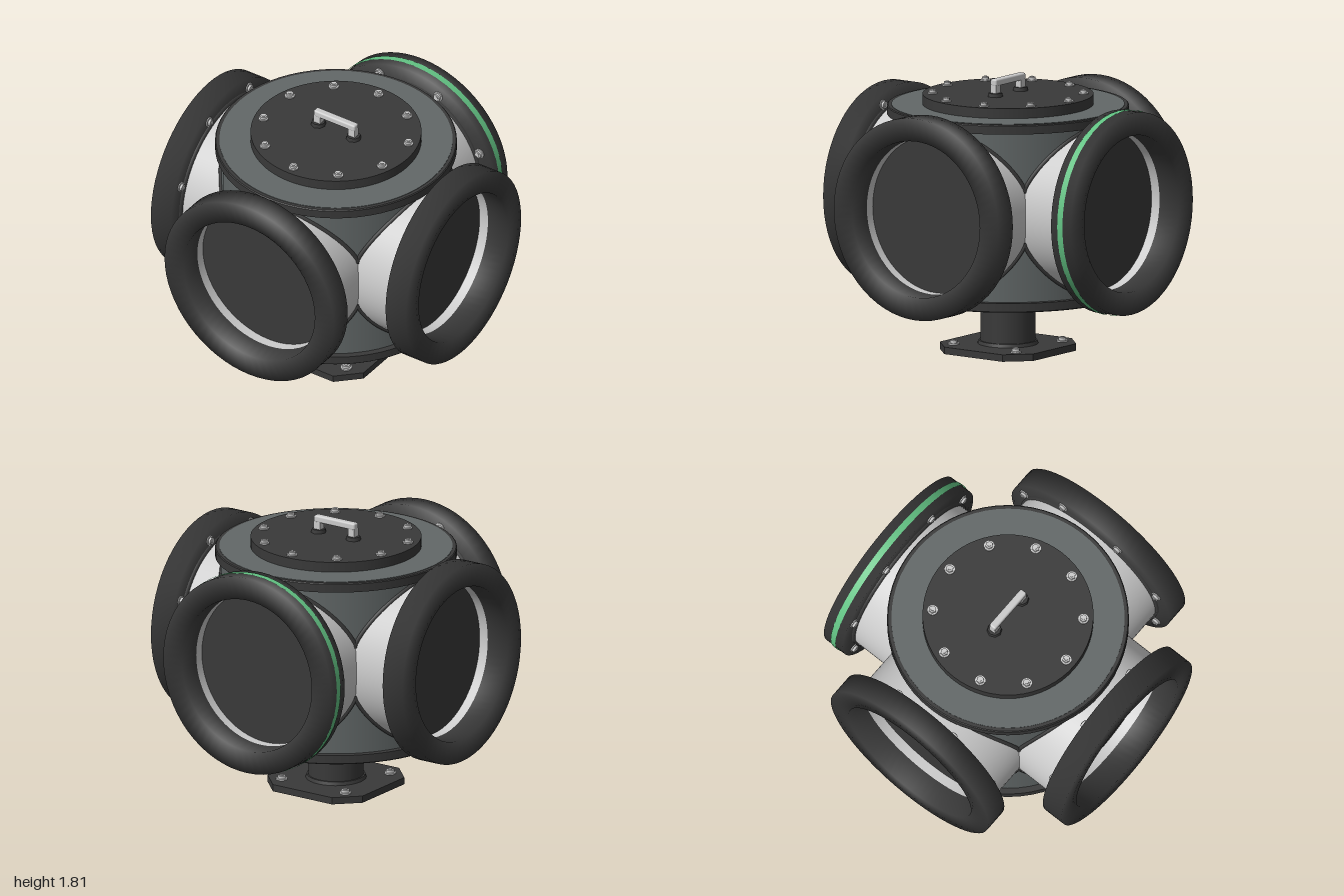
import * as THREE from 'three';
import { RoundedBoxGeometry } from 'three/addons/geometries/RoundedBoxGeometry.js';

const mat = (name, color, side = THREE.FrontSide) => {
  const m = new THREE.MeshStandardMaterial({ color, side });
  m.name = name;
  return m;
};

export function createModel() {
  const dark = mat('charcoal', 0x393939);
  const grey = mat('hull grey', 0x626868);
  const silver = mat('silver', 0xcccccc, THREE.DoubleSide);
  const green = mat('green', 0x62c283, THREE.DoubleSide);

  const CY = 1.003;     // height of the port axes
  const TUBE_R = 0.558; // port tube radius
  const HULL_R = 0.745; // vertical hull radius

  const root = new THREE.Group();
  root.name = 'dockingNode';

  const add = (parent, name, geo, material, x = 0, y = 0, z = 0) => {
    const m = new THREE.Mesh(geo, material);
    m.name = name;
    m.position.set(x, y, z);
    parent.add(m);
    return m;
  };
  // upright cylinder between two heights
  const cyl = (parent, name, r, y0, y1, material, seg = 64, rTop = r, open = false) =>
    add(parent, name, new THREE.CylinderGeometry(rTop, r, y1 - y0, seg, 1, open), material, 0, (y0 + y1) / 2, 0);
  const lathe = (pts, seg = 64) => new THREE.LatheGeometry(pts.map(p => new THREE.Vector2(...p)), seg);

  // bolt: washer, hex nut and stud, standing on its local y = 0
  const bolt = (parent, x, y, z, s = 1) => {
    const g = new THREE.Group();
    g.name = 'bolt';
    cyl(g, 'washer', 0.034 * s, 0, 0.008 * s, silver, 16);
    cyl(g, 'boltNut', 0.025 * s, 0.008 * s, 0.024 * s, silver, 6);
    cyl(g, 'boltStud', 0.013 * s, 0.024 * s, 0.029 * s, silver, 8);
    g.position.set(x, y, z);
    parent.add(g);
    return g;
  };

  // hull with a flange at each end
  cyl(root, 'hull', HULL_R, 0.42, 1.58, grey);
  for (const s of [1, -1]) {
    const cap = new THREE.Group();
    cap.name = s > 0 ? 'topFlange' : 'bottomFlange';
    cyl(cap, 'flangeRim', 0.785, 0.557, 0.612, dark);
    cyl(cap, 'flangeBevel', 0.785, 0.612, 0.618, dark, 64, 0.779);
    cyl(cap, 'flangeFace', 0.757, 0.614, 0.621, grey);
    cap.position.y = CY;
    if (s < 0) cap.rotation.x = Math.PI;
    root.add(cap);
  }

  // hatch with bolts and handle
  cyl(root, 'hatch', 0.555, 1.62, 1.69, dark);
  for (let i = 0; i < 10; i++) {
    const a = i * Math.PI / 5;
    bolt(root, 0.49 * Math.sin(a), 1.69, 0.49 * Math.cos(a));
  }
  add(root, 'handleBar', new RoundedBoxGeometry(0.325, 0.046, 0.05, 3, 0.012), silver, 0, 1.783, 0);
  for (const s of [1, -1]) {
    add(root, 'handlePost', new THREE.BoxGeometry(0.05, 0.065, 0.045), silver, s * 0.136, 1.735, 0);
    add(root, 'handleFoot', new THREE.CylinderGeometry(0.045, 0.05, 0.024, 8), dark, s * 0.138, 1.702, 0);
  }

  // pedestal with a collar at each end and a chamfered square base
  cyl(root, 'pedestal', 0.18, 0.04, 0.4, dark, 32);
  cyl(root, 'pedestalFoot', 0.2, 0.04, 0.068, dark, 32, 0.19);
  cyl(root, 'pedestalCollar', 0.195, 0.363, 0.39, dark, 32);
  const E = 0.377, C = 0.235;
  const plate = new THREE.Shape([[E, -C], [E, C], [C, E], [-C, E], [-E, C], [-E, -C], [-C, -E], [C, -E]]
    .map(p => new THREE.Vector2(...p)));
  const plateGeo = new THREE.ExtrudeGeometry(plate, { depth: 0.046, bevelEnabled: false });
  plateGeo.rotateX(-Math.PI / 2);
  add(root, 'basePlate', plateGeo, dark);
  for (const x of [1, -1]) for (const z of [1, -1]) bolt(root, x * 0.252, 0.046, z * 0.252, 1.1);

  // seam following the meeting line of a port tube and the hull
  const seamPts = [];
  for (let i = 0; i < 72; i++) {
    const a = i / 72 * Math.PI * 2;
    const x = TUBE_R * Math.cos(a);
    seamPts.push(new THREE.Vector3(x, TUBE_R * Math.sin(a), Math.sqrt(HULL_R ** 2 - x * x)));
  }
  const seamGeo = new THREE.TubeGeometry(new THREE.CatmullRomCurve3(seamPts, true), 144, 0.016, 6, true);

  // soft-shaded port ring with a square section
  const ringGeo = lathe([[0.515, 0.842], [0.665, 0.842], [0.665, 1], [0.515, 1], [0.515, 0.842]]);

  // four ports, each built along local +y and laid towards +z
  ['frontPort', 'leftPort', 'backPort', 'rightPort'].forEach((name, i) => {
    const port = new THREE.Group();
    port.name = name;
    port.position.y = CY;
    port.rotation.y = i * Math.PI / 2;
    root.add(port);
    add(port, 'seam', seamGeo, dark);

    const axis = new THREE.Group();
    axis.name = 'portAssembly';
    axis.rotation.x = Math.PI / 2;
    port.add(axis);
    cyl(axis, 'portTube', TUBE_R, 0.48, 0.843, silver, 64, TUBE_R, true);
    // collar is a ring, so the recess behind the port ring stays open
    add(axis, 'collar', lathe([[0.53, 0.824], [0.572, 0.824], [0.572, 0.843]]), dark);
    add(axis, 'portRing', ringGeo, dark);
    cyl(axis, 'portLining', 0.516, 0.77, 0.845, silver, 64, 0.516, true);
    cyl(axis, 'portCover', 0.516, 0.75, 0.777, dark);
    for (let k = 0; k < 8; k++) {
      const a = (k + 0.5) * Math.PI / 4;
      const b = bolt(axis, 0.6 * Math.cos(a), 0.843, 0.6 * Math.sin(a));
      b.rotation.x = Math.PI;
    }
    // coloured band marks the back port
    if (name === 'backPort') cyl(axis, 'greenBand', 0.671, 0.896, 0.938, green, 48, 0.671, true);
  });

  return root;
}
